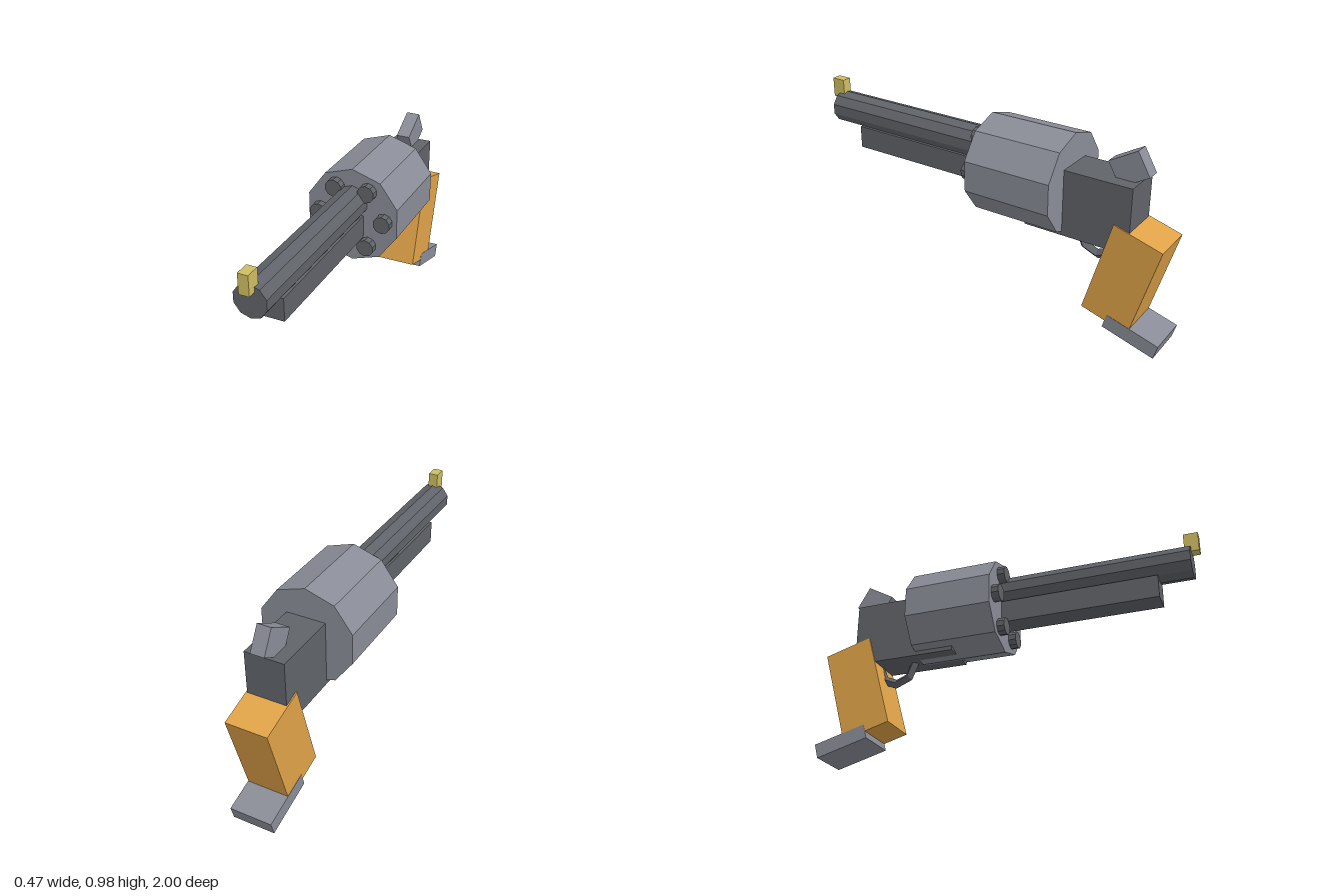
import * as THREE from 'three';

const makeMaterial = (name, color) => {
  const m = new THREE.MeshStandardMaterial({ color, flatShading: true });
  m.name = name;
  return m;
};

export function createModel() {
  const steel = makeMaterial('light steel', 0x8a8d97);
  const gunmetal = makeMaterial('dark gunmetal', 0x606369);
  const wood = makeMaterial('orange wood', 0xe0a348);
  const brass = makeMaterial('brass', 0xcfbd62);

  const model = new THREE.Group();
  model.name = 'revolver';

  const add = (name, geometry, material, x, y, z, tilt = 0) => {
    const mesh = new THREE.Mesh(geometry, material);
    mesh.name = name;
    mesh.position.set(x, y, z);
    mesh.rotation.x = THREE.MathUtils.degToRad(tilt);
    model.add(mesh);
    return mesh;
  };
  const box = (name, material, w, h, d, y, z, tilt) =>
    add(name, new THREE.BoxGeometry(w, h, d), material, 0, y, z, tilt);
  // Ten-sided rod lying along z, from z0 to z1, with a corner pointing up
  const rod = (name, material, r, x, y, z0, z1) =>
    add(name, new THREE.CylinderGeometry(r, r, z1 - z0, 10).rotateX(Math.PI / 2),
      material, x, y, (z0 + z1) / 2);

  // Barrel, lug below it and front sight
  rod('barrel', gunmetal, 0.083, 0, 0.816, -0.03, 0.96);
  box('barrelLug', gunmetal, 0.12, 0.117, 0.82, 0.6885, 0.385);
  box('frontSight', brass, 0.05, 0.1, 0.072, 0.917, 0.964);

  // Drum with six chambers standing proud of its front
  const drumY = 0.737;
  rod('drum', steel, 0.248, 0, drumY, -0.466, -0.009);
  for (let i = 0; i < 6; i++) {
    const a = (i * Math.PI) / 3;
    rod('chamber', gunmetal, 0.0445, 0.17 * Math.cos(a), drumY + 0.17 * Math.sin(a), -0.05, 0.03);
  }

  // Frame and hammer
  box('frame', gunmetal, 0.2, 0.335, 0.549, 0.6675, -0.5355);
  box('hammer', steel, 0.07, 0.13, 0.162, 0.89, -0.754, 30);

  // Trigger guard: a half ring hanging under the frame
  const guard = new THREE.TorusGeometry(0.1, 0.025, 4, 4, Math.PI);
  guard.rotateZ(Math.PI).rotateY(Math.PI / 2);
  add('triggerGuard', guard, gunmetal, 0, 0.5, -0.612);

  // Grip and butt plate, both raked backwards
  box('grip', wood, 0.213, 0.502, 0.256, 0.362, -0.786, -16);
  box('buttPlate', steel, 0.216, 0.075, 0.281, 0.081, -0.855, -15.7);

  return model;
}
